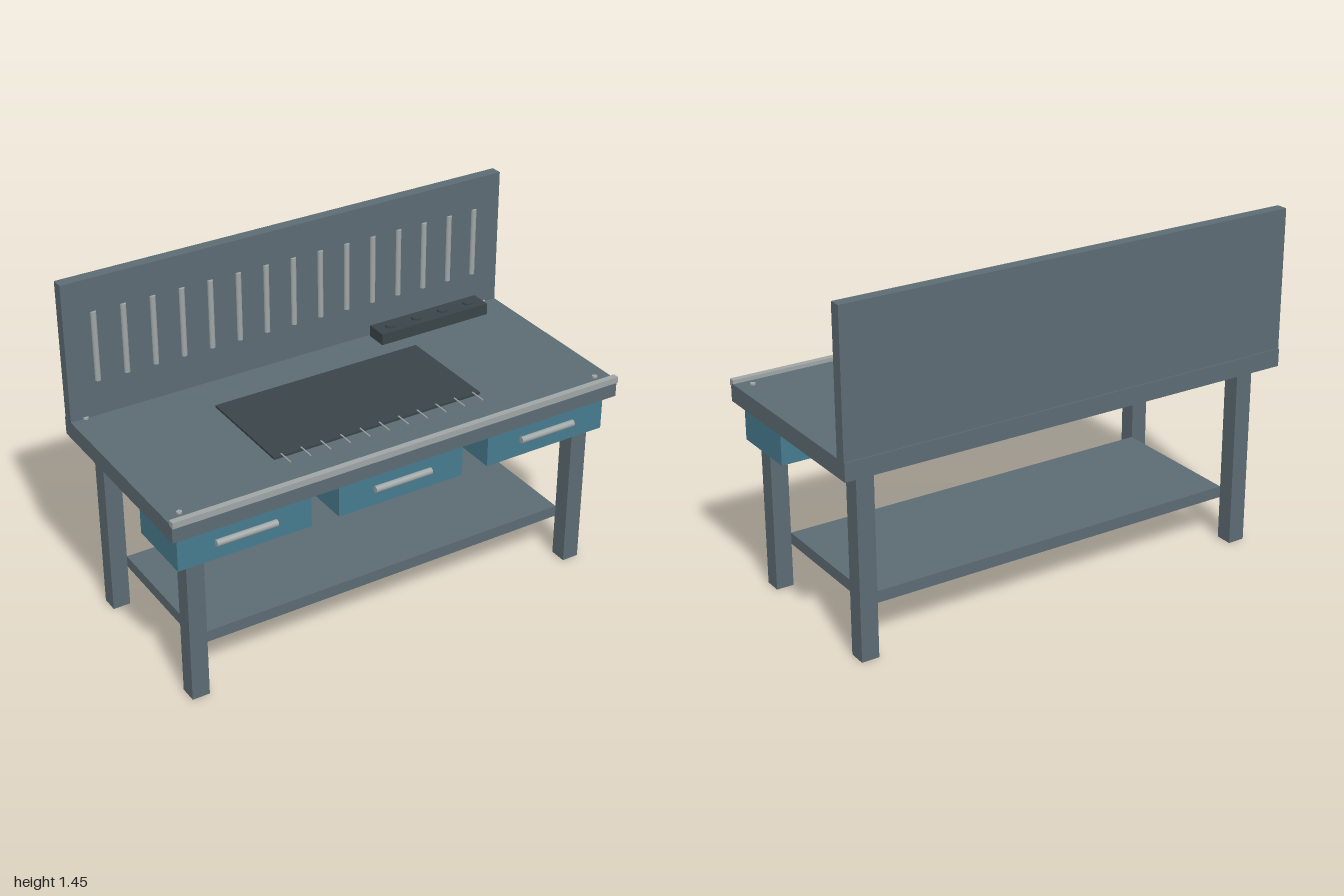
import * as THREE from 'three';

const material = (name, color) => {
  const m = new THREE.MeshStandardMaterial({ color });
  m.name = name;
  return m;
};

export function createModel() {
  const steel = material('slate steel', 0x5c6b73);
  const teal = material('teal drawer', 0x477b8e);
  const dark = material('dark rubber', 0x3a4549);
  const metal = material('bright metal', 0x9fa6a6);
  const bench = new THREE.Group();
  bench.name = 'workbench';

  const add = (name, geometry, mat, x, y, z) => {
    const mesh = new THREE.Mesh(geometry, mat);
    mesh.name = name;
    mesh.position.set(x, y, z);
    bench.add(mesh);
    return mesh;
  };
  // Box given by its lower and upper limits on each axis
  const box = (name, mat, x0, x1, y0, y1, z0, z1) =>
    add(name, new THREE.BoxGeometry(x1 - x0, y1 - y0, z1 - z0), mat,
      (x0 + x1) / 2, (y0 + y1) / 2, (z0 + z1) / 2);
  const rod = (name, mat, r, length, x, y, z, sides = 16) =>
    add(name, new THREE.CylinderGeometry(r, r, length, sides), mat, x, y, z);

  // Frame: worktop, back panel, shelf and four legs
  box('worktop', steel, -1, 1, 0.787, 0.862, -0.45, 0.445);
  box('backPanel', steel, -1, 1, 0.862, 1.45, -0.445, -0.396);
  box('shelf', steel, -0.845, 0.845, 0.184, 0.233, -0.308, 0.304);
  for (const x of [-0.882, 0.882]) {
    for (const z of [-0.345, 0.34]) {
      box('leg', steel, x - 0.037, x + 0.037, 0, 0.787, z - 0.037, z + 0.037);
    }
  }

  // Drawers with bar handles
  for (const x of [-0.684, 0, 0.684]) {
    box('drawer', teal, x - 0.282, x + 0.282, 0.63, 0.787, 0.11, 0.407);
    rod('drawerHandle', metal, 0.014, 0.256, x, 0.706, 0.418).rotation.z = Math.PI / 2;
  }

  // Front edge rail and worktop bolts
  box('edgeRail', metal, -1, 1, 0.852, 0.878, 0.427, 0.453);
  for (const x of [-0.937, 0.937]) {
    for (const z of [-0.395, 0.383]) rod('bolt', metal, 0.011, 0.012, x, 0.863, z);
  }

  // Row of upright bars on the back panel
  for (let i = 0; i < 15; i++) {
    rod('toolBar', metal, 0.012, 0.296, -0.874 + i * 0.1248, 1.163, -0.396);
  }

  // Work mat with thin pins along its front edge
  box('workMat', dark, -0.47, 0.467, 0.862, 0.872, -0.206, 0.252);
  for (let i = 0; i < 11; i++) {
    rod('pin', metal, 0.003, 0.07, -0.437 + i * 0.0872, 0.877, 0.281, 8).rotation.x = Math.PI / 2;
  }

  // Power strip with round sockets
  box('powerStrip', dark, 0.337, 0.862, 0.883, 0.933, -0.352, -0.259);
  for (let i = 0; i < 4; i++) {
    rod('socket', dark, 0.022, 0.014, 0.405 + i * 0.1295, 0.934, -0.306, 20);
  }
  return bench;
}
